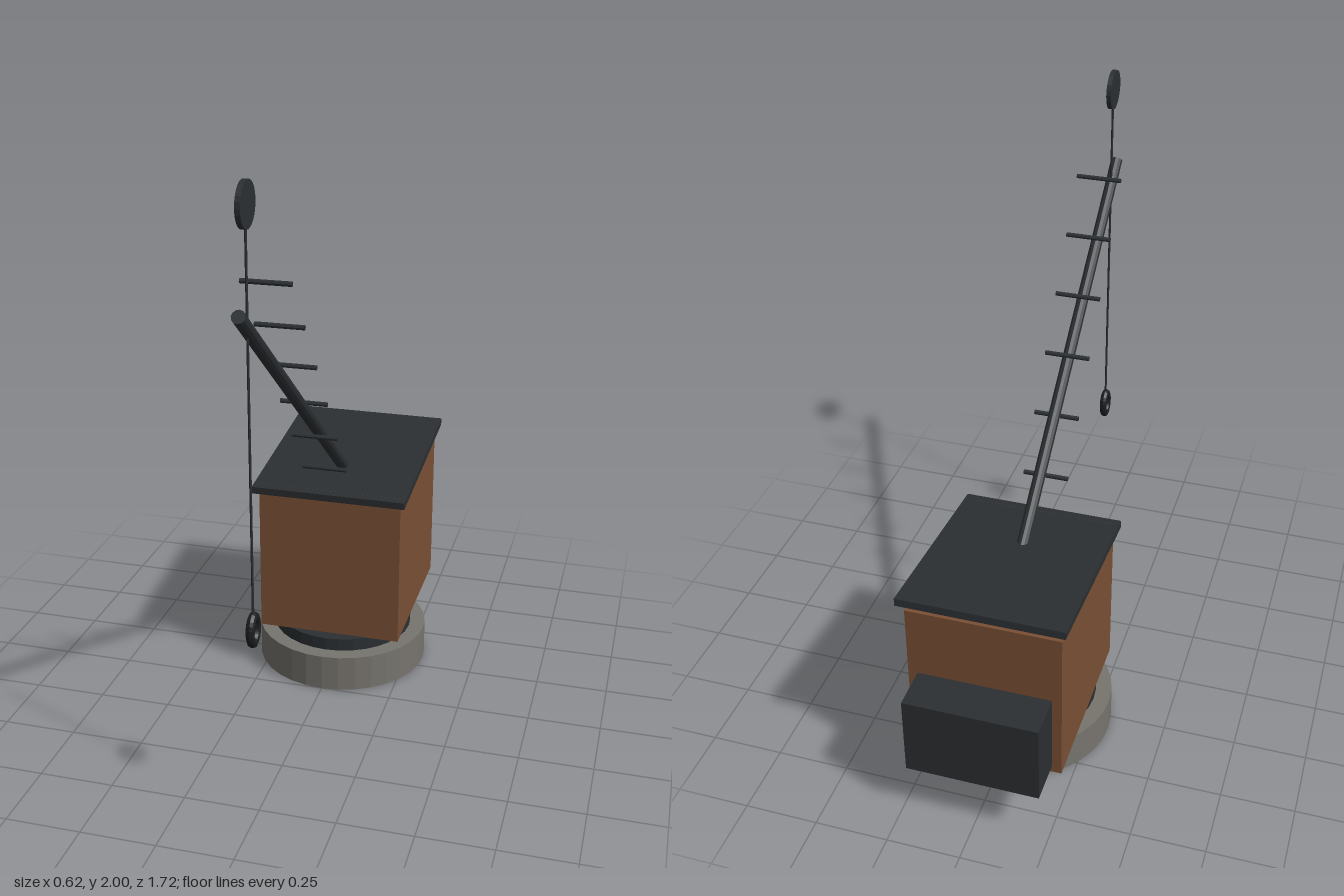
import * as THREE from 'three';

const mat = (color) => new THREE.MeshStandardMaterial({ color, flatShading: true });

export function createModel() {
  const group = new THREE.Group();
  const stone = mat(0x77746e), dark = mat(0x2b2f32), wood = mat(0x7a5034), iron = mat(0x1c1e20);

  const add = (name, geometry, material, x, y, z) => {
    const mesh = new THREE.Mesh(geometry, material);
    mesh.name = name;
    mesh.position.set(x, y, z);
    group.add(mesh);
    return mesh;
  };

  // Round rod between two points
  const rod = (name, a, b, radius, sides, material) => {
    const dir = b.clone().sub(a);
    const mid = a.clone().add(b).multiplyScalar(0.5);
    const mesh = add(name, new THREE.CylinderGeometry(radius, radius, dir.length(), sides), material, mid.x, mid.y, mid.z);
    mesh.quaternion.setFromUnitVectors(new THREE.Vector3(0, 1, 0), dir.normalize());
    return mesh;
  };
  const v = (x, y, z) => new THREE.Vector3(x, y, z);

  // Pedestal and slewing ring
  add('base', new THREE.CylinderGeometry(0.31, 0.31, 0.13, 32), stone, 0, 0.065, -0.31);
  add('turntable', new THREE.CylinderGeometry(0.255, 0.255, 0.046, 32), dark, 0, 0.153, -0.31);

  // Cabin with sloping roof and rear counterweight
  add('cabin', new THREE.BoxGeometry(0.514, 0.564, 0.62), wood, 0, 0.457, -0.41);
  const roof = add('roof', new THREE.BoxGeometry(0.552, 0.026, 0.68), dark, 0, 0.757, -0.41);
  roof.rotation.x = 0.1;
  add('counterweight', new THREE.BoxGeometry(0.45, 0.287, 0.145), dark, 0, 0.344, -0.792);

  // Boom and its cross rungs
  rod('boom', v(0, 0.74, -0.32), v(0, 1.645, 0.847), 0.021, 12, dark);
  for (let i = 0; i < 6; i++) {
    const y = 0.85 + i * 0.165, z = -0.041 + i * 0.1277;
    rod('rung', v(-0.078, y, z), v(0.078, y, z), 0.008, 8, dark);
  }

  // Pulley wheel, cable and hanging ring
  rod('pulley', v(-0.008, 1.933, 0.771), v(0.008, 1.933, 0.771), 0.067, 24, dark);
  rod('cable', v(0, 0.7, 0.771), v(0, 1.933, 0.771), 0.004, 8, dark);
  const hook = add('hookRing', new THREE.TorusGeometry(0.044, 0.014, 8, 24), iron, 0, 0.657, 0.771);
  hook.rotation.y = Math.PI / 2;
  hook.scale.x = 0.73;

  return group;
}
